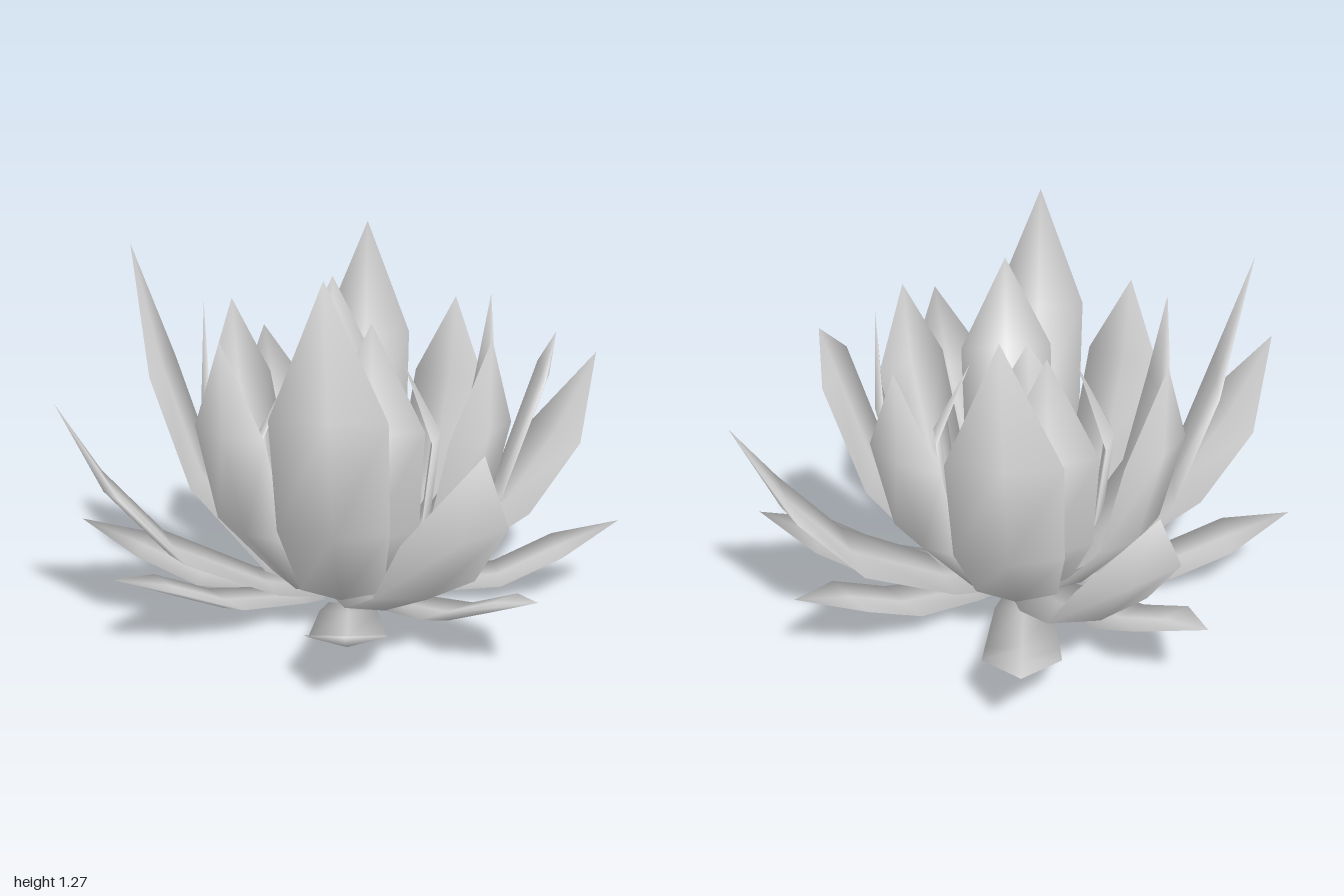
import * as THREE from 'three';

const material = new THREE.MeshStandardMaterial({ color: 0xcccccc });

// Each tier: four petals a quarter turn apart.
// angle: turn from the front in degrees; half: half width; squash: narrowing across x;
// profile: [radius, height] along the midrib, base to tip.
const tiers = [
  { name: 'lowPetal', angle: 8.5, half: 0.13, squash: 0.98,
    profile: [[0.17, 0.01], [0.27, 0.015], [0.56, 0.05], [0.78, 0.16], [1.0, 0.27]] },
  { name: 'lowDiagonalPetal', angle: 46.5, half: 0.12, squash: 1,
    profile: [[0.16, 0.015], [0.27, 0.03], [0.54, 0.085], [0.75, 0.19], [0.95, 0.27]] },
  { name: 'broadPetal', angle: 31, half: 0.187, squash: 0.95,
    profile: [[0.1, 0.015], [0.34, 0.07], [0.69, 0.25], [0.91, 0.505], [1.075, 0.81]] },
  { name: 'tallPetal', angle: 4.5, half: 0.195, squash: 0.92,
    profile: [[0.09, 0.02], [0.32, 0.11], [0.6, 0.43], [0.74, 0.83], [0.835, 1.27]],
    // the one on the left side has a folded, shorter tip
    shortTip: [0.78, 0.98] },
  { name: 'middleDiagonalPetal', angle: 57, half: 0.168, squash: 1,
    profile: [[0.08, 0.02], [0.27, 0.1], [0.5, 0.36], [0.59, 0.71], [0.61, 1.02]] },
  { name: 'middlePetal', angle: 17, half: 0.18, squash: 0.98,
    profile: [[0.08, 0.02], [0.23, 0.1], [0.43, 0.36], [0.515, 0.73], [0.515, 1.09]] },
  { name: 'innerPetal', angle: 5, half: 0.14, squash: 0.92,
    profile: [[0.07, 0.02], [0.16, 0.08], [0.3, 0.3], [0.335, 0.6], [0.205, 0.86]] },
];

const taper = [0.57, 0.8, 1, 1];      // share of the full half width, base to shoulder
const lean = [-0.5, -0.1, 0.25, 0.6]; // how far rounded normals lean toward the tip

// A thin closed petal growing toward +z. Each row holds the left edge, the outer
// ridge, the right edge and the inner midrib; the normals round it like a cushion.
function petalGeometry(half, profile) {
  const positions = [];
  const normals = [];
  const indices = [0, 2, 1];
  const rows = taper.length;
  const tip = rows * 4;
  for (let i = 0; i < rows; i++) {
    const [r, y] = profile[i];
    const [r0, y0] = profile[Math.max(i - 1, 0)];
    const [r1, y1] = profile[i + 1];
    const length = Math.hypot(r1 - r0, y1 - y0);
    const tr = (r1 - r0) / length; // direction toward the tip
    const ty = (y1 - y0) / length;
    // [sideways, toward the inner face, lift]
    for (const [side, inner, lift] of [[-1, 0, 0.012], [0, -1, -0.02], [1, 0, 0.012], [0, 1, 0.01]]) {
      const rise = i === 0 ? lift * 0.5 : lift;
      positions.push(side * half * taper[i], Math.max(0, y + tr * rise), r - ty * rise);
      normals.push(side, inner * tr + lean[i] * ty, -inner * ty + lean[i] * tr);
    }
    for (let j = 0; j < 4 && i < rows - 1; j++) {
      const a = i * 4 + j;
      const b = i * 4 + (j + 1) % 4;
      indices.push(a, b, b + 4, a, b + 4, a + 4);
    }
  }
  // pointed tip
  const [r, y] = profile[rows];
  positions.push(0, y, r);
  normals.push(0, y - profile[rows - 1][1], r - profile[rows - 1][0]);
  for (let j = 0; j < 4; j++) indices.push(tip - 4 + j, tip - 4 + (j + 1) % 4, tip);

  const geometry = new THREE.BufferGeometry();
  geometry.setAttribute('position', new THREE.Float32BufferAttribute(positions, 3));
  geometry.setAttribute('normal', new THREE.Float32BufferAttribute(normals, 3));
  geometry.setIndex(indices);
  geometry.normalizeNormals();
  return geometry;
}

export function createModel() {
  const flower = new THREE.Group();
  flower.name = 'flower';
  for (const tier of tiers) {
    const ring = new THREE.Group();
    ring.name = tier.name + 'Ring';
    ring.position.x = 0.01;
    for (let k = 0; k < 4; k++) {
      const profile = tier.profile.slice();
      if (k === 1 && tier.shortTip) profile[profile.length - 1] = tier.shortTip;
      const geometry = petalGeometry(tier.half, profile);
      geometry.rotateY(THREE.MathUtils.degToRad(tier.angle + 90 * k));
      geometry.scale(tier.squash, 1, 1);
      const petal = new THREE.Mesh(geometry, material);
      petal.name = tier.name;
      ring.add(petal);
    }
    flower.add(ring);
  }
  return flower;
}
